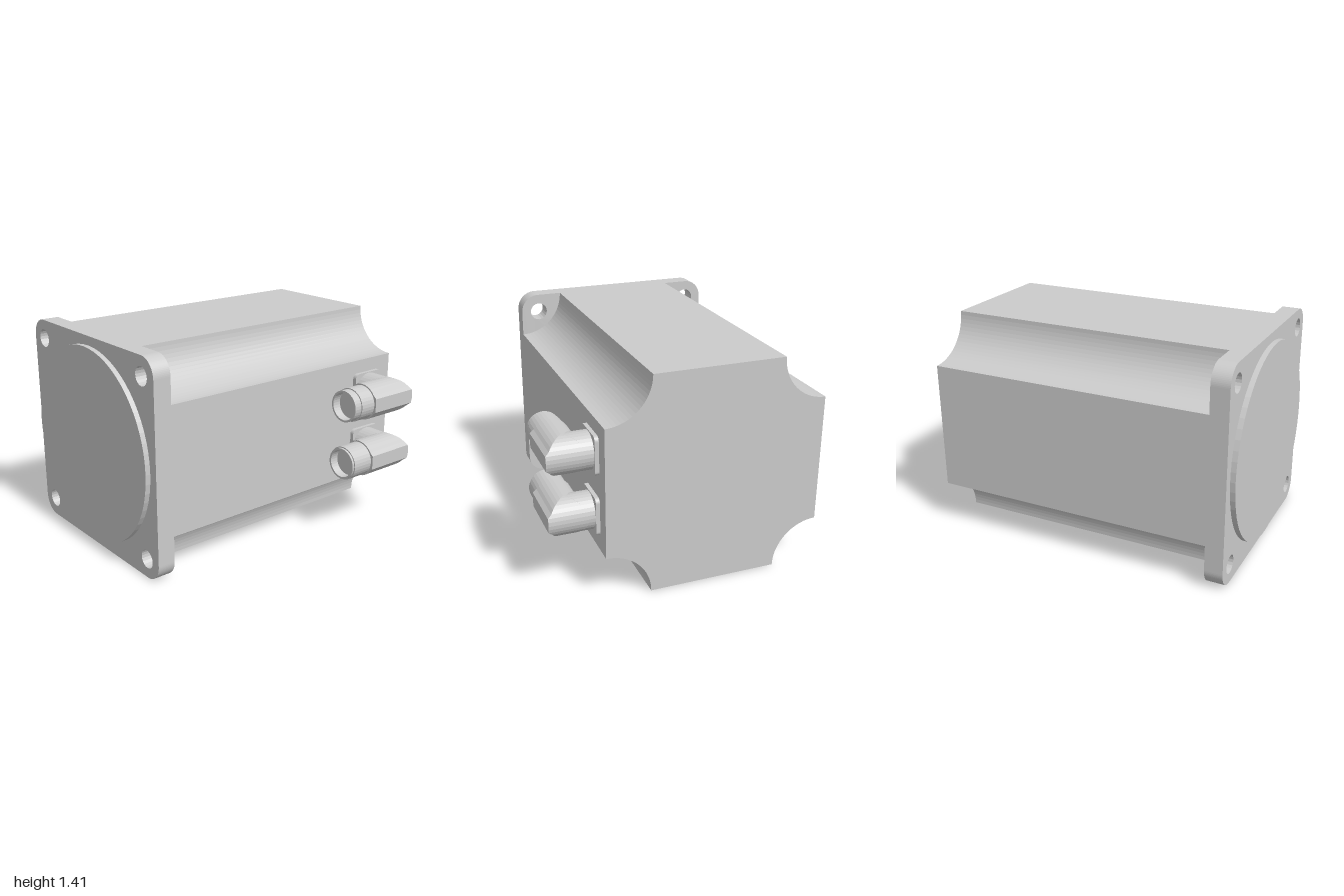
import * as THREE from 'three';

const CX = -0.158, CY = 0.705, H = 0.703; // centre and half width of the motor section
const material = new THREE.MeshStandardMaterial({ color: 0xcccccc, flatShading: true });

function addMesh(parent, name, geometry, x = 0, y = 0, z = 0) {
  const mesh = new THREE.Mesh(geometry, material);
  mesh.name = name;
  mesh.position.set(x, y, z);
  parent.add(mesh);
  return mesh;
}

function extrude(shape, depth, curveSegments) {
  return new THREE.ExtrudeGeometry(shape, { depth, curveSegments, bevelEnabled: false });
}

// Square whose four corners are scooped out by quarter circles
function scoopedSquare(h, r) {
  const s = new THREE.Shape();
  const q = Math.PI / 2;
  s.moveTo(-h + r, -h);
  s.lineTo(h - r, -h);
  s.absarc(h, -h, r, 2 * q, q, true);
  s.lineTo(h, h - r);
  s.absarc(h, h, r, 3 * q, 2 * q, true);
  s.lineTo(-h + r, h);
  s.absarc(-h, h, r, 4 * q, 3 * q, true);
  s.lineTo(-h, -h + r);
  s.absarc(-h, -h, r, q, 0, true);
  return s;
}

function roundedSquare(h, r) {
  const s = new THREE.Shape();
  const q = Math.PI / 2;
  s.absarc(h - r, -h + r, r, -q, 0, false);
  s.absarc(h - r, h - r, r, 0, q, false);
  s.absarc(-h + r, h - r, r, q, 2 * q, false);
  s.absarc(-h + r, -h + r, r, 2 * q, 3 * q, false);
  s.closePath();
  return s;
}

// Cylinder along z with a flat key on +x, its rear end rounded to the inlet's circle
function elbowGeometry(r, length, keyX, keyHalf) {
  const rows = [];
  const n = 16;
  for (let i = 0; i <= n; i++) {
    const t = -Math.PI / 2 + (Math.PI * i) / n;
    const y = r * Math.sin(t), c = r * Math.cos(t);
    const xr = Math.abs(y) <= keyHalf ? keyX : c;
    rows.push([[-c, y, length], [xr, y, length], [xr, y, -c], [-c, y, -c]]);
  }
  const pos = [];
  for (let i = 0; i < n; i++) {
    for (let k = 0; k < 4; k++) {
      const a = rows[i][k], b = rows[i][(k + 1) % 4];
      const c = rows[i + 1][(k + 1) % 4], d = rows[i + 1][k];
      pos.push(...a, ...b, ...c, ...a, ...c, ...d);
    }
  }
  const g = new THREE.BufferGeometry();
  g.setAttribute('position', new THREE.Float32BufferAttribute(pos, 3));
  g.computeVertexNormals();
  return g;
}

// Right-angle plug: plate and inlet on the motor side, hollow sleeve facing the front
function makeConnector(name, y, step) {
  const g = new THREE.Group();
  g.name = name;
  g.position.set(0, y, -0.775);

  addMesh(g, 'mountingPlate', extrude(roundedSquare(0.124, 0.03), 0.025, 4), 0.545)
    .rotation.y = Math.PI / 2;
  addMesh(g, 'inlet', new THREE.CylinderGeometry(0.119, 0.119, 0.165, 32), 0.648)
    .rotation.z = Math.PI / 2;
  addMesh(g, 'elbow', elbowGeometry(0.121, 0.238, 0.125, 0.055), 0.732);

  const end = 0.405;
  const profile = [
    [0.112, 0.23], [0.112, end - step], [0.105, end - step], [0.105, end],
    [0.092, end], [0.092, end - 0.06], [0, end - 0.06],
  ].map(([r, z]) => new THREE.Vector2(r, z));
  addMesh(g, 'sleeve', new THREE.LatheGeometry(profile, 32), 0.732)
    .rotation.x = Math.PI / 2;
  return g;
}

export function createModel() {
  const model = new THREE.Group();
  model.name = 'servoMotor';

  // Long housing with scooped corners
  addMesh(model, 'housing', extrude(scoopedSquare(H, 0.287), 1.85, 9), CX, CY, -1);

  // Front flange with four bolt holes
  const flange = roundedSquare(H, 0.12);
  for (const sx of [-1, 1]) {
    for (const sy of [-1, 1]) {
      const hole = new THREE.Path();
      hole.absarc(sx * 0.579, sy * 0.579, 0.06, 0, Math.PI * 2, true);
      flange.holes.push(hole);
    }
  }
  addMesh(model, 'flange', extrude(flange, 0.117, 10), CX, CY, 0.85);

  // Raised round face
  addMesh(model, 'pilotDisc', new THREE.CylinderGeometry(0.643, 0.643, 0.04, 64), CX, CY, 0.98)
    .rotation.x = Math.PI / 2;

  // Two angled plugs on the side
  model.add(makeConnector('upperConnector', 0.907, 0.055));
  model.add(makeConnector('lowerConnector', 0.511, 0.015));
  return model;
}
